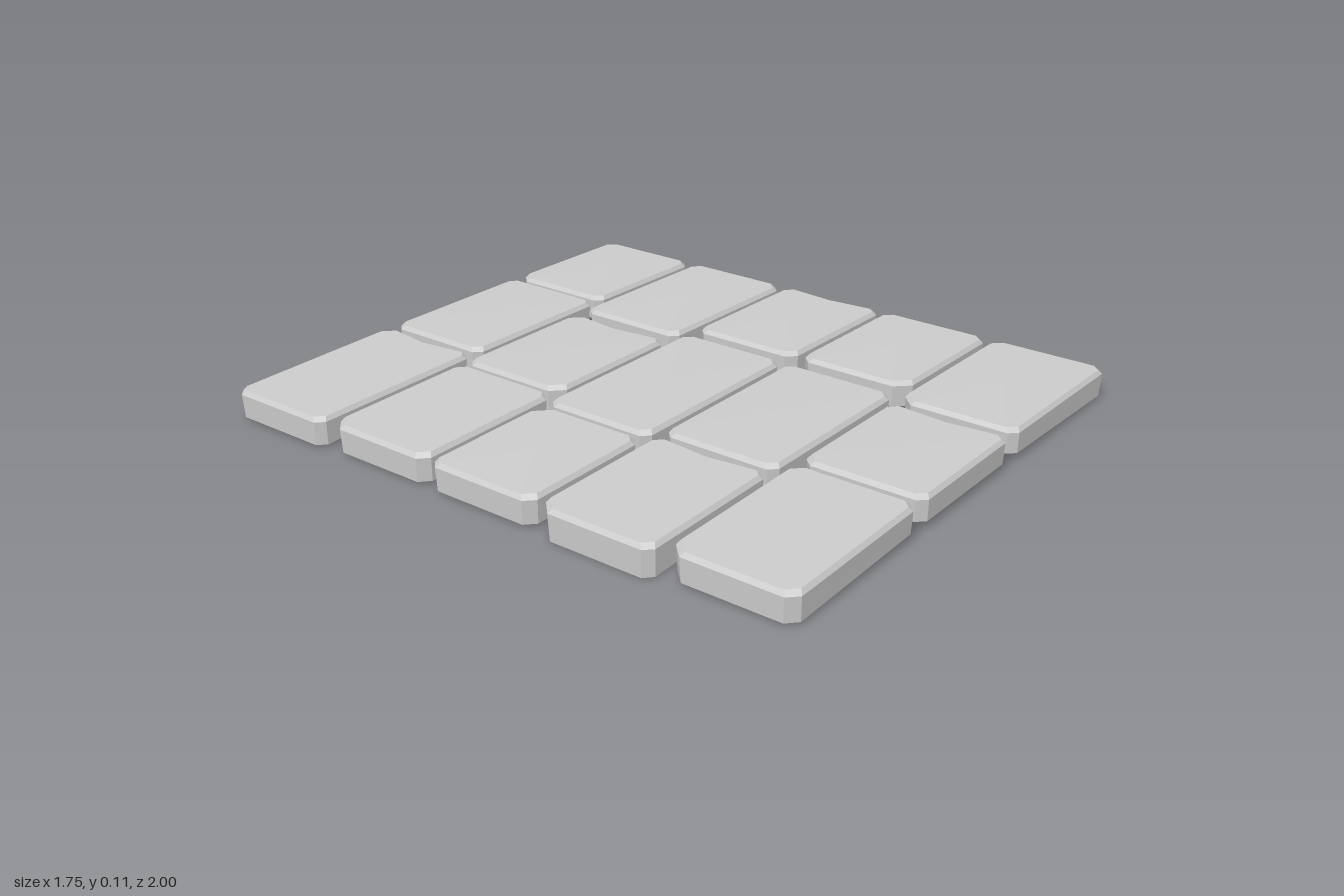
import * as THREE from 'three';

const material = new THREE.MeshStandardMaterial({ color: 0xcccccc, flatShading: true });

// Paving falls away gently towards both sides.
const camber = (x) => -Math.max(0, Math.abs(x) - 0.28) / 0.6;

// Rectangle with cut corners [backLeft, backRight, frontRight, frontLeft]
// as seen from above, and an optional dent in its +x edge.
function outline(x0, x1, z0, z1, cuts, dent, inset) {
  const [a, b, c, d] = cuts;
  x0 += inset; x1 -= inset; z0 += inset; z1 -= inset;
  const points = [[x0 + a, z0], [x1 - b, z0], [x1, z0 + b]];
  if (dent) points.push([x1 - dent, (z0 + z1) / 2]);
  points.push([x1, z1 - c], [x1 - c, z1], [x0 + d, z1], [x0, z1 - d], [x0, z0 + a]);
  return points;
}

// Stone made of stacked outlines: base, shoulder and bevelled top.
function makeStone(x0, x1, z0, z1, cuts, dent, fall) {
  const layers = [
    { y: 0.024, inset: 0.003, fall },
    { y: 0.09, inset: 0, fall: 0.008 },
    { y: 0.103, inset: 0.01, fall: 0.008 },
  ];
  const rings = layers.map((l) => outline(x0, x1, z0, z1, cuts, dent, l.inset)
    .map(([x, z]) => [x, l.y + l.fall * camber(x), z]));
  const n = rings[0].length;
  const cx = (x0 + x1) / 2, cz = (z0 + z1) / 2;
  const low = [cx, 0.024 + fall * camber(cx), cz];
  const high = [cx, 0.106 + 0.008 * camber(cx), cz];
  const pos = [];
  for (let i = 0; i < n; i++) {
    const j = (i + 1) % n;
    for (let k = 0; k < 2; k++) {
      const [a, b, c, d] = [rings[k][i], rings[k + 1][i], rings[k + 1][j], rings[k][j]];
      pos.push(...a, ...b, ...c, ...a, ...c, ...d);
    }
    pos.push(...high, ...rings[2][j], ...rings[2][i]);
    pos.push(...low, ...rings[0][i], ...rings[0][j]);
  }
  const geometry = new THREE.BufferGeometry();
  geometry.setAttribute('position', new THREE.Float32BufferAttribute(pos, 3));
  geometry.computeVertexNormals();
  return new THREE.Mesh(geometry, material);
}

// Rows from back to front; each stone is [xMin, xMax, corner cuts, dent].
const rows = [
  { z: [-1, -0.625], fall: 0.016, stones: [
    [-0.88, -0.26, [0.025, 0.035, 0.02, 0.025], 0.02],
    [-0.23, 0.335, [0.025, 0.02, 0.02, 0.025], 0],
    [0.365, 0.875, [0.035, 0.025, 0.025, 0.025], 0]] },
  { z: [-0.595, -0.215], fall: 0.016, stones: [
    [-0.865, -0.335, [0.04, 0.025, 0.025, 0.03], 0],
    [-0.31, 0.205, [0.025, 0.035, 0.02, 0.04], 0.018],
    [0.26, 0.875, [0.025, 0.025, 0.03, 0.025], 0]] },
  { z: [-0.19, 0.185], fall: 0.015, stones: [
    [-0.87, -0.41, [0.025, 0.045, 0.025, 0.03], 0],
    [-0.385, 0.29, [0.025, 0.025, 0.025, 0.025], 0],
    [0.35, 0.875, [0.025, 0.025, 0.02, 0.03], 0.014]] },
  { z: [0.21, 0.59], fall: 0.024, stones: [
    [-0.88, -0.37, [0.045, 0.025, 0.02, 0.025], 0.016],
    [-0.34, 0.285, [0.025, 0.02, 0.025, 0.025], 0],
    [0.355, 0.875, [0.03, 0.025, 0.025, 0.045], 0]] },
  { z: [0.615, 1], fall: 0.016, stones: [
    [-0.85, -0.28, [0.045, 0.03, 0.025, 0.03], 0],
    [-0.25, 0.225, [0.03, 0.025, 0.02, 0.025], 0.016],
    [0.265, 0.875, [0.045, 0.03, 0.025, 0.025], 0]] },
];

export function createModel() {
  const model = new THREE.Group();
  model.name = 'stonePaving';
  rows.forEach(({ z, fall, stones }, r) => {
    const row = new THREE.Group();
    row.name = `pavingRow${r + 1}`;
    stones.forEach(([x0, x1, cuts, dent], s) => {
      const stone = makeStone(x0, x1, z[0], z[1], cuts, dent, fall);
      stone.name = `pavingStone${r + 1}_${s + 1}`;
      row.add(stone);
    });
    model.add(row);
  });
  return model;
}
